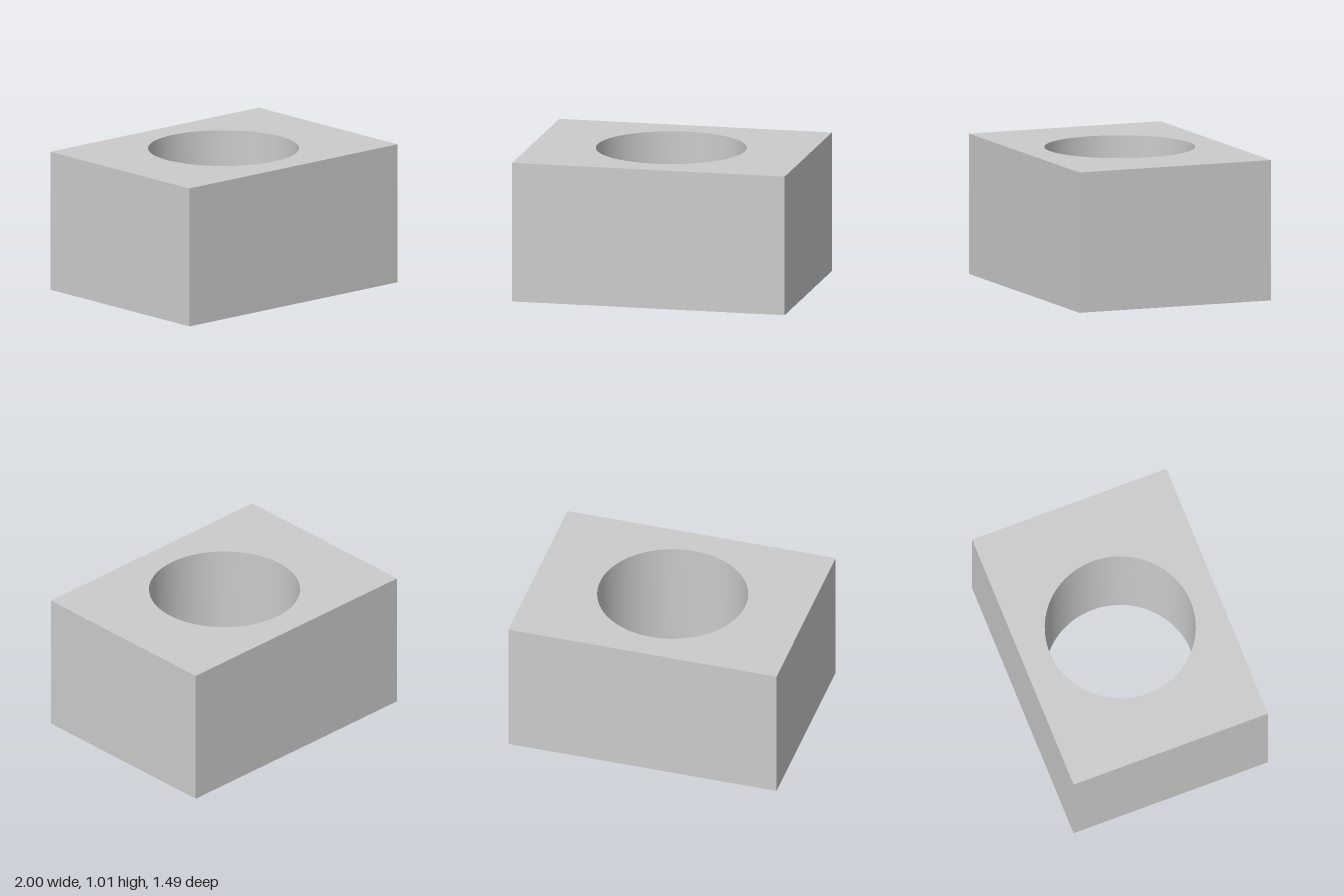
import * as THREE from 'three';
import { toCreasedNormals } from 'three/addons/utils/BufferGeometryUtils.js';

const HALF_WIDTH = 1, HALF_DEPTH = 0.745, HEIGHT = 1.015, BORE_RADIUS = 0.54;

export function createModel() {
  const group = new THREE.Group();
  group.name = 'boredBlock';

  // Rectangular footprint with a round hole through it
  const footprint = new THREE.Shape([
    new THREE.Vector2(-HALF_WIDTH, -HALF_DEPTH),
    new THREE.Vector2(HALF_WIDTH, -HALF_DEPTH),
    new THREE.Vector2(HALF_WIDTH, HALF_DEPTH),
    new THREE.Vector2(-HALF_WIDTH, HALF_DEPTH),
  ]);
  footprint.holes.push(new THREE.Path().absarc(-0.005, 0, BORE_RADIUS, 0, Math.PI * 2, true));

  // Extrude upwards; the bore wall is smooth, the block edges stay sharp
  const extruded = new THREE.ExtrudeGeometry(footprint, {
    depth: HEIGHT, bevelEnabled: false, curveSegments: 48,
  }).rotateX(-Math.PI / 2);

  const block = new THREE.Mesh(
    toCreasedNormals(extruded, Math.PI / 6),
    new THREE.MeshStandardMaterial({ color: 0xcccccc }),
  );
  block.name = 'block';
  group.add(block);
  return group;
}
